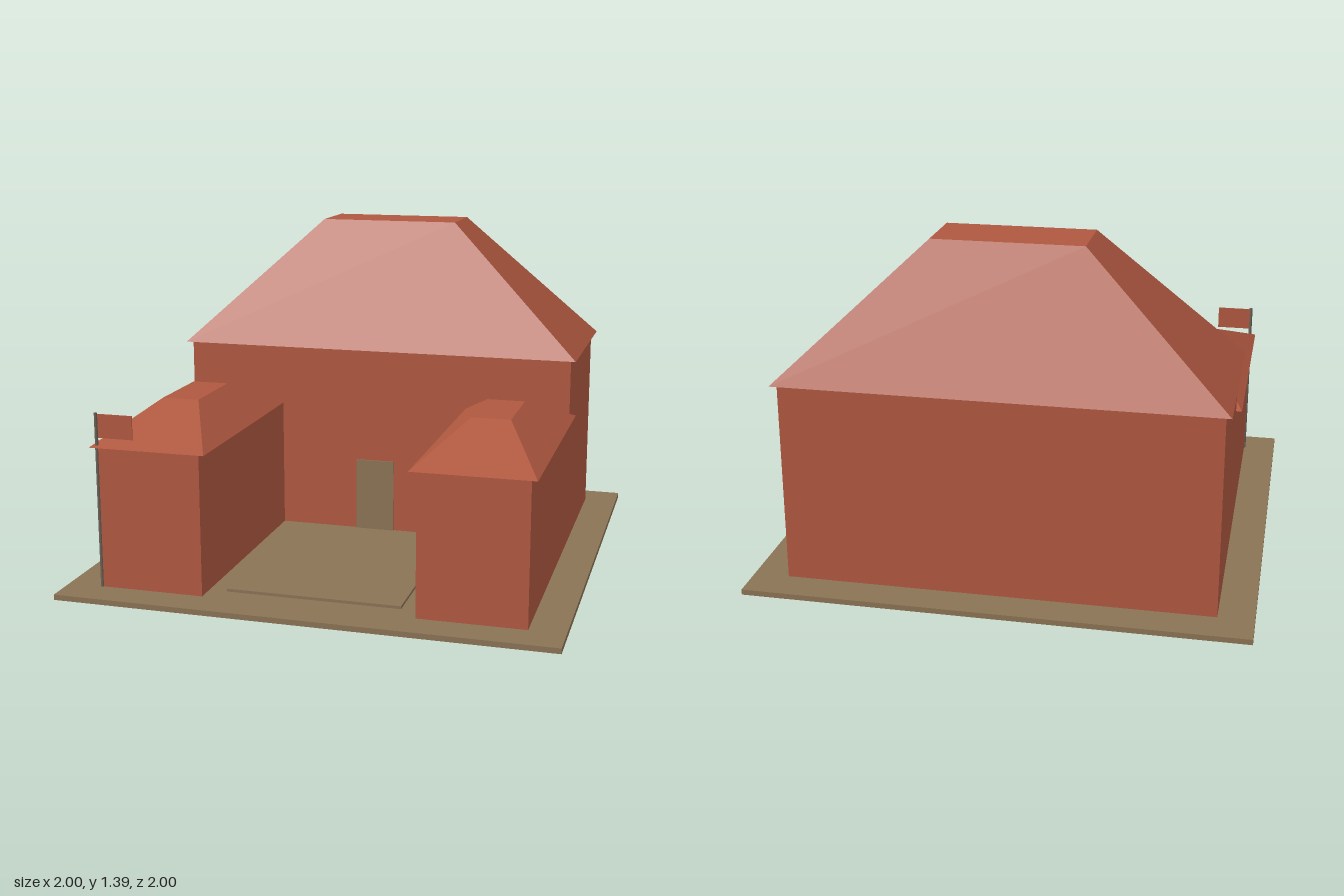
import * as THREE from 'three';

const brick = new THREE.MeshStandardMaterial({ name: 'brick', color: 0xb05840 });
const earth = new THREE.MeshStandardMaterial({ name: 'earth', color: 0x8b7355 });
const iron = new THREE.MeshStandardMaterial({ name: 'iron', color: 0x6b6258 });

// Box given by its extents on each axis
function block(name, [x0, x1], [y0, y1], [z0, z1], material) {
  const mesh = new THREE.Mesh(new THREE.BoxGeometry(x1 - x0, y1 - y0, z1 - z0), material);
  mesh.position.set((x0 + x1) / 2, (y0 + y1) / 2, (z0 + z1) / 2);
  mesh.name = name;
  return mesh;
}

// Flat-topped hipped roof: a box whose top face is drawn in
function hipRoof(name, xs, ys, zs, topWidth, topDepth) {
  const mesh = block(name, xs, ys, zs, brick);
  const pos = mesh.geometry.attributes.position;
  for (let i = 0; i < pos.count; i++) {
    if (pos.getY(i) < 0) continue;
    pos.setX(i, Math.sign(pos.getX(i)) * topWidth / 2);
    pos.setZ(i, Math.sign(pos.getZ(i)) * topDepth / 2);
  }
  mesh.geometry.computeVertexNormals();
  return mesh;
}

export function createModel() {
  const model = new THREE.Group();
  model.name = 'courtyardHouse';

  // Ground and courtyard
  model.add(block('groundSlab', [-1, 1], [0, 0.022], [-1, 1], earth));
  model.add(block('courtyard', [-0.355, 0.355], [0.02, 0.034], [-0.08, 0.785], earth));

  // Main hall
  model.add(block('hallWalls', [-0.857, 0.857], [0.02, 0.842], [-0.857, -0.143], brick));
  model.add(hipRoof('hallRoof', [-0.88, 0.88], [0.84, 1.386], [-0.882, -0.118], 0.6, 0.262));
  model.add(block('door', [-0.085, 0.085], [0.022, 0.34], [-0.144, -0.136], earth));

  // Side wings
  for (const [side, s] of [['left', 1], ['right', -1]]) {
    const span = (a, b) => (s > 0 ? [a, b] : [-b, -a]);
    model.add(block(side + 'WingWalls', span(0.43, 0.857), [0.02, 0.6], [-0.15, 0.862], brick));
    model.add(hipRoof(side + 'WingRoof', span(0.402, 0.882), [0.598, 0.73], [-0.165, 0.882], 0.154, 0.325));
  }

  // Flagpole and flag at the corner of the right wing
  const pole = new THREE.Mesh(new THREE.CylinderGeometry(0.007, 0.007, 0.715, 8), iron);
  pole.name = 'flagpole';
  pole.position.set(-0.857, 0.3775, 0.86);
  model.add(pole);
  model.add(block('flag', [-0.855, -0.705], [0.634, 0.73], [0.856, 0.86], brick));

  return model;
}
